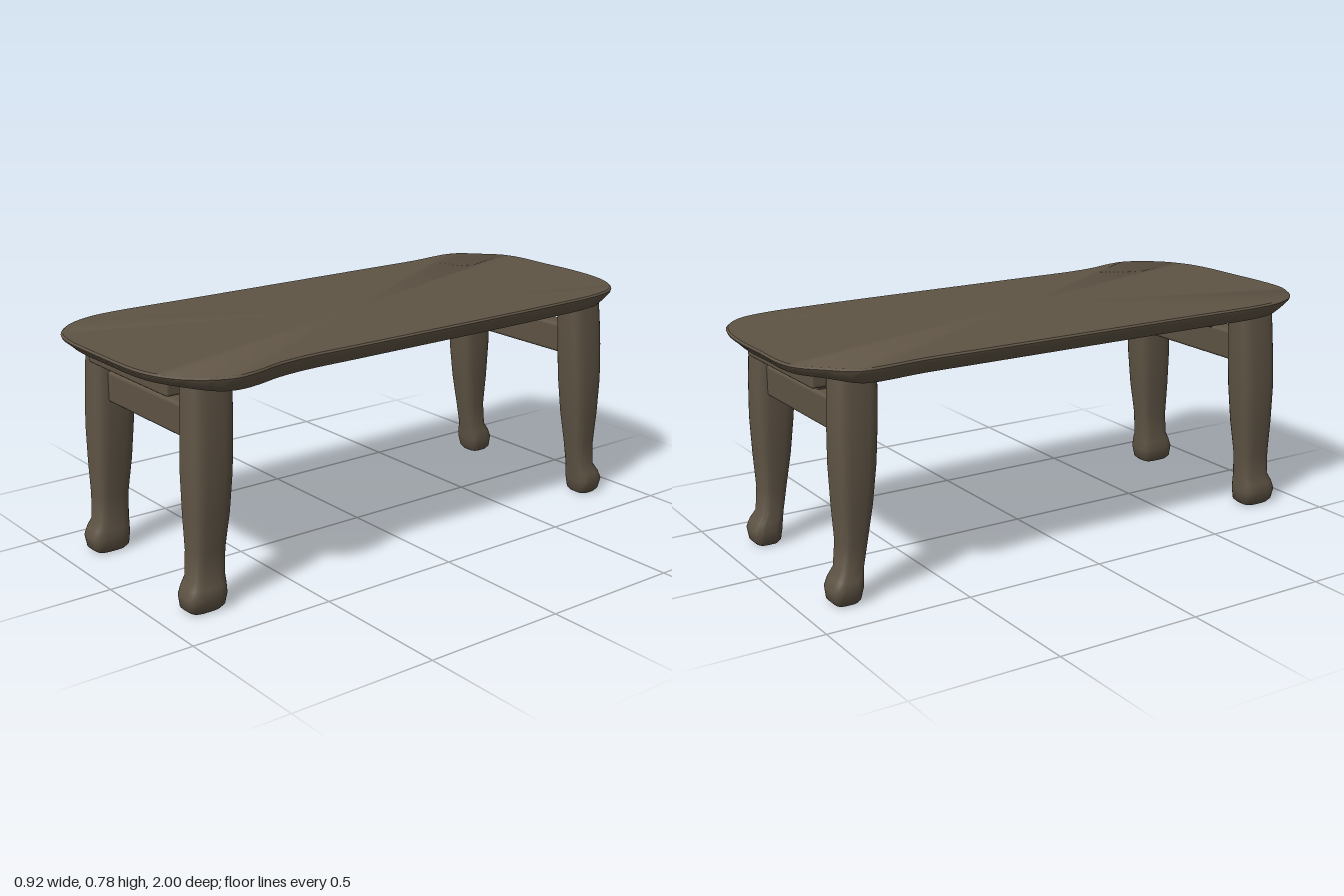
import * as THREE from 'three';
import { toCreasedNormals } from 'three/addons/utils/BufferGeometryUtils.js';
import { RoundedBoxGeometry } from 'three/addons/geometries/RoundedBoxGeometry.js';

// Closed skin over a stack of rings, listed from bottom to top
function loft(rings, crease) {
  const n = rings[0].length;
  const pos = [];
  const index = [];
  rings.forEach(r => r.forEach(p => pos.push(p.x, p.y, p.z)));
  for (let r = 0; r < rings.length - 1; r++) {
    for (let i = 0; i < n; i++) {
      const a = r * n + i, b = r * n + (i + 1) % n;
      index.push(a, a + n, b, b, a + n, b + n);
    }
  }
  [0, rings.length - 1].forEach((r, top) => {
    const c = new THREE.Vector3();
    rings[r].forEach(p => c.addScaledVector(p, 1 / n));
    const centre = pos.length / 3;
    pos.push(c.x, c.y, c.z);
    for (let i = 0; i < n; i++) {
      const a = r * n + i, b = r * n + (i + 1) % n;
      if (top) index.push(centre, b, a);
      else index.push(centre, a, b);
    }
  });
  const g = new THREE.BufferGeometry();
  g.setAttribute('position', new THREE.Float32BufferAttribute(pos, 3));
  g.setIndex(index);
  return toCreasedNormals(g, crease);
}

// Lopsided slab outline as [x, z], clockwise seen from above
const OUTLINE = [
  [-0.25, -1], [-0.1, -1], [0.05, -1], [0.18, -0.985], [0.28, -0.95], [0.355, -0.88],
  [0.39, -0.77], [0.4, -0.6], [0.405, -0.3], [0.405, 0], [0.405, 0.3], [0.405, 0.5],
  [0.42, 0.62], [0.447, 0.71], [0.457, 0.79], [0.43, 0.86], [0.37, 0.93], [0.29, 0.975],
  [0.2, 0.995], [0, 1], [-0.22, 0.995], [-0.3, 0.97], [-0.38, 0.91], [-0.43, 0.82],
  [-0.45, 0.72], [-0.45, 0.4], [-0.45, 0], [-0.45, -0.4], [-0.45, -0.62], [-0.46, -0.84],
  [-0.39, -0.92], [-0.32, -0.98],
];

function tabletop() {
  const curve = new THREE.CatmullRomCurve3(
    OUTLINE.map(([x, z]) => new THREE.Vector3(x, 0, z)), true, 'centripetal');
  const outline = curve.getPoints(128).slice(0, -1);
  // [inset, height, lift of the underside towards both ends]
  const profile = [[0.05, 0.731, 0.012], [0.03, 0.732, 0.016], [0.016, 0.748, 0.014],
    [0.002, 0.77, 0.004], [0, 0.78, 0], [0.006, 0.786, 0]];
  return loft(profile.map(([inset, y, lift]) => outline.map(p => new THREE.Vector3(
    p.x * (1 - inset / 0.43), y + lift * THREE.MathUtils.smoothstep(Math.abs(p.z), 0.82, 0.98),
    p.z * (1 - inset)))), 0.7);
}

// Leg stations: [y, outer x, inner x, front leg outer z, inner z, back leg outer z, inner z]
const LEG = [
  [0.003, 0.342, 0.262, 0.89, 0.785, 0.885, 0.81],
  [0.015, 0.352, 0.252, 0.905, 0.77, 0.897, 0.8],
  [0.055, 0.363, 0.247, 0.91, 0.765, 0.902, 0.793],
  [0.085, 0.357, 0.25, 0.9, 0.765, 0.89, 0.79],
  [0.115, 0.345, 0.256, 0.885, 0.765, 0.87, 0.785],
  [0.2, 0.348, 0.255, 0.88, 0.762, 0.862, 0.77],
  [0.32, 0.358, 0.245, 0.882, 0.745, 0.868, 0.75],
  [0.45, 0.364, 0.238, 0.882, 0.733, 0.872, 0.735],
  [0.58, 0.36, 0.237, 0.877, 0.725, 0.87, 0.725],
  [0.68, 0.354, 0.237, 0.872, 0.72, 0.865, 0.72],
  [0.75, 0.348, 0.237, 0.87, 0.718, 0.86, 0.718],
];

function leg(side, end) {
  const n = 28;
  const power = 0.58; // rounded square section
  const soft = v => Math.sign(v) * Math.abs(v) ** power;
  return loft(LEG.map(s => {
    const [zo, zi] = end > 0 ? [s[3], s[4]] : [s[5], s[6]];
    return Array.from({ length: n }, (_, i) => {
      const a = (i / n) * Math.PI * 2;
      return new THREE.Vector3(
        -0.008 + side * (s[1] + s[2]) / 2 + soft(Math.cos(a)) * (s[1] - s[2]) / 2,
        s[0],
        end * (zo + zi) / 2 + soft(Math.sin(a)) * (zo - zi) / 2);
    });
  }), 0.9);
}

export function createModel() {
  const model = new THREE.Group();
  model.name = 'table';
  const wood = new THREE.MeshStandardMaterial({ color: 0x5f5445 });
  wood.name = 'dark wood';

  const add = (name, geometry, x = 0, y = 0, z = 0) => {
    const mesh = new THREE.Mesh(geometry, wood);
    mesh.name = name;
    mesh.position.set(x, y, z);
    model.add(mesh);
  };

  add('tabletop', tabletop());

  for (const end of [1, -1]) {
    const place = end > 0 ? 'front' : 'back';
    add(place + 'LeftLeg', leg(1, end));
    add(place + 'RightLeg', leg(-1, end));
    // Apron under the slab, and the stretcher rail between the legs
    add(place + 'Apron', new RoundedBoxGeometry(0.49, 0.065, 0.06, 2, 0.01), -0.01, 0.718, end * 0.872);
    add(place + 'Rail', new RoundedBoxGeometry(0.52, 0.108, 0.075, 2, 0.012), -0.008, 0.592, end * 0.8);
    // Block standing on the rail, narrower at its foot
    const block = new THREE.BoxGeometry(0.23, 0.1, 0.07, 1, 4, 1);
    const p = block.attributes.position;
    for (let i = 0; i < p.count; i++) {
      if (p.getY(i) < -0.04) p.setX(i, p.getX(i) * 0.9);
    }
    block.computeVertexNormals();
    add(place + 'Block', block, -0.03, 0.69, end * 0.79);
  }
  return model;
}
